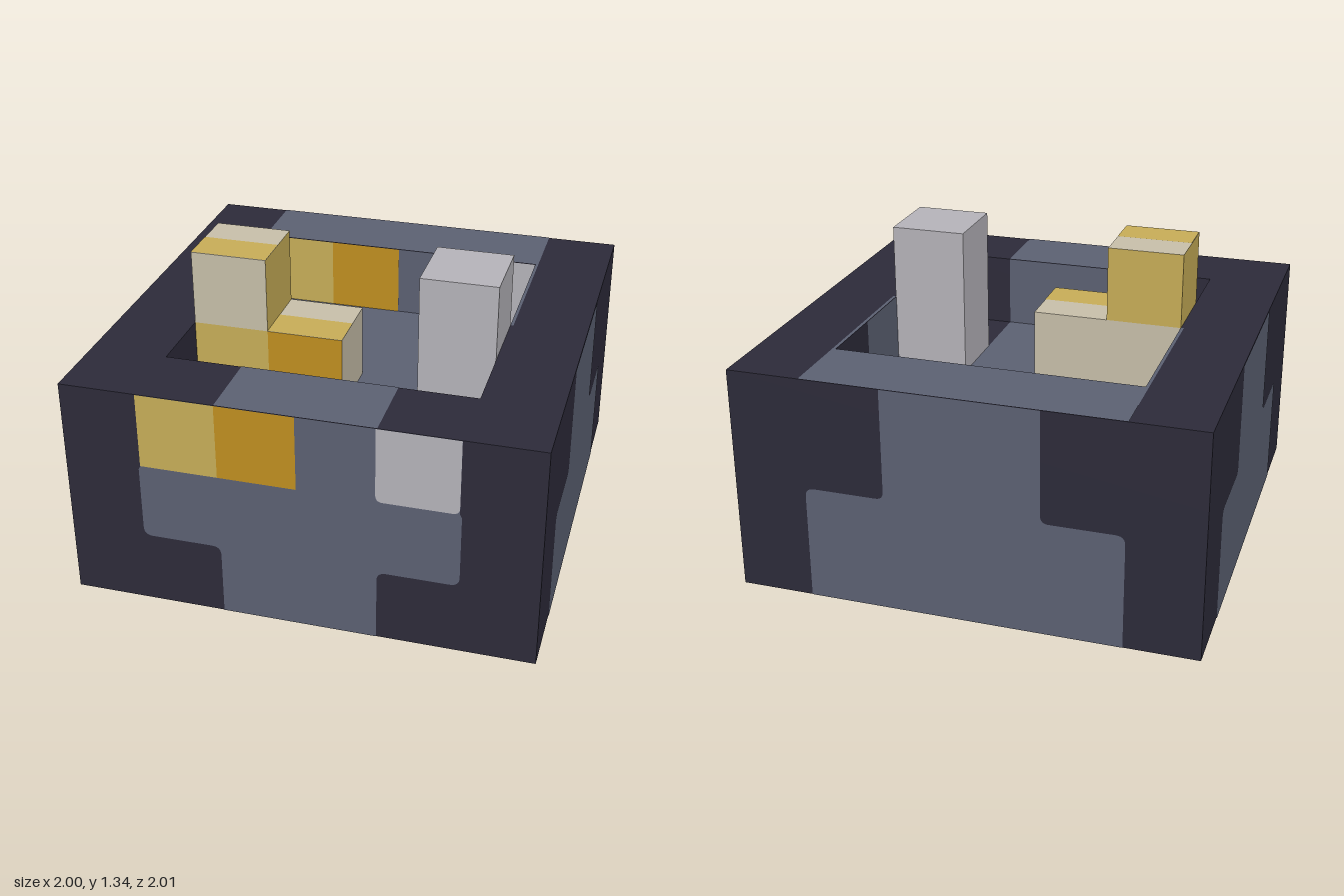
import * as THREE from 'three';

const P = 2 / 3, T = 1 / 3, LIFT = 0.002;

export function createModel() {
  const model = new THREE.Group();
  model.name = 'paintedBlockTray';

  const paint = (name, color) => {
    const m = new THREE.MeshStandardMaterial({ color });
    m.name = name;
    return m;
  };
  const dark = paint('darkNavy', 0x2d2b3a);
  const slate = paint('slate', 0x5c6173);
  const yellow = paint('softYellow', 0xc8ae58);
  const amber = paint('amber', 0xc09020);
  const beige = paint('beige', 0xc8c0aa);
  const grey = paint('paleGrey', 0xb6b4ba);

  const add = (name, geometry, material) => {
    const mesh = new THREE.Mesh(geometry, material);
    mesh.name = name;
    model.add(mesh);
    return mesh;
  };

  // Closed outline from [x, y, cornerRadius] points
  const outline = (pts) => {
    const s = new THREE.Shape();
    pts.forEach(([x, y, r = 0], i) => {
      const p = new THREE.Vector2(x, y);
      const toward = (q) => new THREE.Vector2(q[0], q[1]).sub(p).normalize().multiplyScalar(r).add(p);
      const a = toward(pts[(i + pts.length - 1) % pts.length]);
      const b = toward(pts[(i + 1) % pts.length]);
      if (i === 0) s.moveTo(a.x, a.y); else s.lineTo(a.x, a.y);
      if (r) s.quadraticCurveTo(x, y, b.x, b.y);
    });
    return s;
  };
  const mirrored = (half) => outline([...half, ...half.map(([x, y, r]) => [-x, y, r]).reverse()]);
  const rect = (x0, x1, y0, y1) => outline([[x0, y0], [x1, y0], [x1, y1], [x0, y1]]);
  // Stepped shape: wide from y0 to the step, narrow from the step to y1
  const tee = (wide, y0, step, y1, r) => mirrored([[wide, y0], [wide, step, r], [T, step, 0.035], [T, y1]]);

  // Flat painted face, turned about x and y and pushed outward by d
  const face = (name, shape, material, d, ry = 0, rx = 0) => {
    const g = new THREE.ShapeGeometry(shape, 6);
    g.translate(0, 0, d).rotateX(rx).rotateY(ry);
    return add(name, g, material);
  };

  // Body: solid base with a square rim around a shallow pit
  const base = new THREE.BoxGeometry(2, P, 2);
  base.translate(0, P / 2, 0);
  add('base', base, dark);
  const rimShape = rect(-1, 1, -1, 1);
  rimShape.holes.push(rect(-P, P, -P, P));
  const rim = new THREE.ExtrudeGeometry(rimShape, { depth: T, bevelEnabled: false });
  rim.rotateX(-Math.PI / 2).translate(0, P, 0);
  add('rim', rim, dark);

  // Stepped panels on the sides and back, with strips on the matching pit walls
  const sides = { leftSide: Math.PI / 2, rightSide: -Math.PI / 2, back: Math.PI };
  for (const [name, ry] of Object.entries(sides)) {
    face(name + 'Panel', tee(0.68, 0, 0.51, 1, 0.04), slate, 1 + LIFT, ry);
    face(name + 'PitStrip', rect(-T, T, P, 1), slate, -P + LIFT, ry);
  }

  // Front panel
  face('frontPanel', mirrored([[P, 1], [P, P], [0.675, 0.65], [0.675, 0.325, 0.04], [T, 0.325, 0.04], [T, 0]]),
    slate, 1 + LIFT);
  face('pitBackWallStrip', rect(0, T, P, 1), slate, -P + LIFT);

  // Coloured patches on the front and on the pit's back wall
  for (const [name, d] of [['front', 1 + 2 * LIFT], ['pitBackWall', -P + 2 * LIFT]]) {
    face(name + 'YellowPatch', rect(-P, -T, P, 1), yellow, d);
    face(name + 'AmberPatch', rect(-T, 0, P, 1), amber, d);
    face(name + 'GreyPatch', outline([[0.327, 1], [0.327, P, 0.03], [P, P, 0.03], [P, 1]]), grey, d);
  }

  // Panels on the underside, pit floor and rim top
  face('undersidePanel', tee(0.68, -1, 0.01, 1, 0.04), slate, LIFT, 0, Math.PI / 2);
  const up = -Math.PI / 2;
  face('pitFloorPanel', tee(P, P, 0, -P, 0.02), slate, P + LIFT, 0, up);
  face('rimRearPanel', mirrored([[0.68, 1], [0.68, 0], [P, 0], [P, P]]), slate, 1 + LIFT, 0, up);
  face('rimFrontPanel', rect(-T, T, -1, -P), slate, 1 + LIFT, 0, up);

  // Blocks standing in the pit; materials run +x, -x, +y, -y, +z, -z
  const block = (name, x, y, h, materials) => {
    const g = new THREE.BoxGeometry(T, h, T);
    g.translate(x + T / 2, y + h / 2, T / 2);
    add(name, g, materials);
  };
  block('greyTower', T, P, P, grey);
  block('yellowTowerLower', -P, P, T, [yellow, yellow, yellow, yellow, yellow, beige]);
  block('yellowTowerUpper', -P, 1, T, [yellow, yellow, beige, yellow, beige, yellow]);
  block('lowBlock', -T, P, T, [beige, beige, beige, beige, amber, beige]);
  face('yellowTowerTopStripe', rect(-P, -T, -T, -T / 2), yellow, 4 * T + LIFT, 0, up);
  face('lowBlockTopStripe', rect(-T, 0, -T, -T / 2), yellow, 1 + LIFT, 0, up);

  return model;
}
